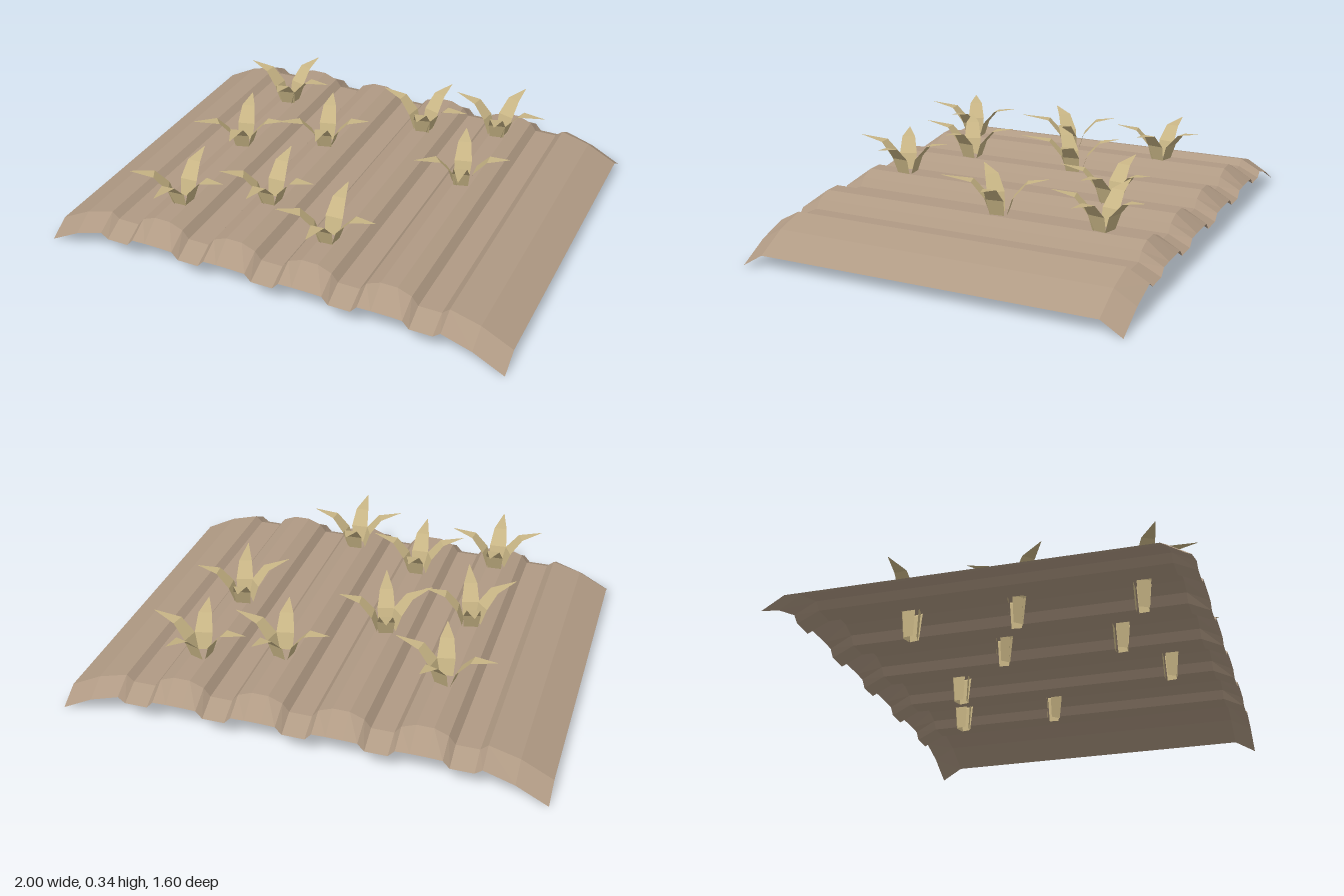
import * as THREE from 'three';

const soil = new THREE.MeshStandardMaterial({ color: 0xb09a84, flatShading: true, side: THREE.DoubleSide });
const leafy = new THREE.MeshStandardMaterial({ color: 0xc8b585, flatShading: true, side: THREE.DoubleSide });

// Open sheet through equal-length rows of [x, y, z] points
function sheet(rows, material, name) {
  const n = rows[0].length, index = [];
  for (let i = 0; i < rows.length - 1; i++) {
    for (let j = 0; j < n - 1; j++) {
      const a = i * n + j, d = a + n;
      index.push(a, a + 1, d + 1, a, d + 1, d);
    }
  }
  const geometry = new THREE.BufferGeometry();
  geometry.setAttribute('position', new THREE.Float32BufferAttribute(rows.flat(2), 3));
  geometry.setIndex(index);
  geometry.computeVertexNormals();
  const mesh = new THREE.Mesh(geometry, material);
  mesh.name = name;
  return mesh;
}

// Ploughed plot: each profile entry is [x, height, height at the sloping end edge]
function plot() {
  const bank = [[-1, 0.055, 0], [-0.87, 0.122, 0.068], [-0.745, 0.157, 0.108], [-0.715, 0.13, 0.085]];
  const ridge = [[-0.12, 0.13, 0.085], [-0.093, 0.165, 0.115], [-0.035, 0.188, 0.117],
    [0.035, 0.188, 0.117], [0.093, 0.165, 0.115], [0.12, 0.13, 0.085]];
  const profile = [...bank];
  for (const c of [-0.5, -0.167, 0.167, 0.5]) {
    for (const [x, y, e] of ridge) profile.push([x + c, y, e]);
  }
  profile.push(...bank.map(([x, y, e]) => [-x, y, e]).reverse());
  return sheet(profile.map(([x, y, e]) => [[x, e, -0.8], [x, y, -0.71], [x, y, 0.71], [x, e, 0.8]]),
    soil, 'ploughedGround');
}

// Leaf blade rising from the stem and bending out to a pointed tip at (tx, tz)
function leaf(tx, tz) {
  const reach = Math.hypot(tx, tz), dx = tx / reach, dz = tz / reach;
  // [radius, height, half width]
  const sections = [[0.025, 0.065, 0.021], [0.03, 0.18, 0.03], [0.055, 0.256, 0.037],
    [0.11, 0.318, 0.028], [reach, 0.335, 0.001]];
  return sheet(sections.map(([r, y, w]) => [-w, w].map(s => [dx * r - dz * s, y, dz * r + dx * s])),
    leafy, 'leaf');
}

// Three seedling arrangements: leaf tip offsets and where each one is planted
const seedlings = [
  { tips: [[-0.21, -0.03], [0.06, -0.19], [0.22, 0.04], [0.045, 0.2]],
    spots: [[-0.5, -0.4], [0.175, -0.42], [0.495, -0.52]] },
  { tips: [[-0.16, 0.15], [-0.055, -0.19], [0.2, -0.02], [0.065, 0.23]],
    spots: [[-0.5, 0.04], [-0.17, -0.115], [0.49, -0.075]] },
  { tips: [[-0.185, 0.095], [-0.01, -0.205], [0.21, 0.02], [0.015, 0.225]],
    spots: [[-0.5, 0.55], [-0.17, 0.395], [0.165, 0.54]] },
];

export function createModel() {
  const model = new THREE.Group();
  model.name = 'cropField';
  model.add(plot());
  for (const { tips, spots } of seedlings) {
    for (const [x, z] of spots) {
      const plant = new THREE.Group();
      plant.name = 'seedling';
      for (const [tx, tz] of tips) plant.add(leaf(tx, tz));
      plant.position.set(x, 0, z);
      model.add(plant);
    }
  }
  return model;
}
